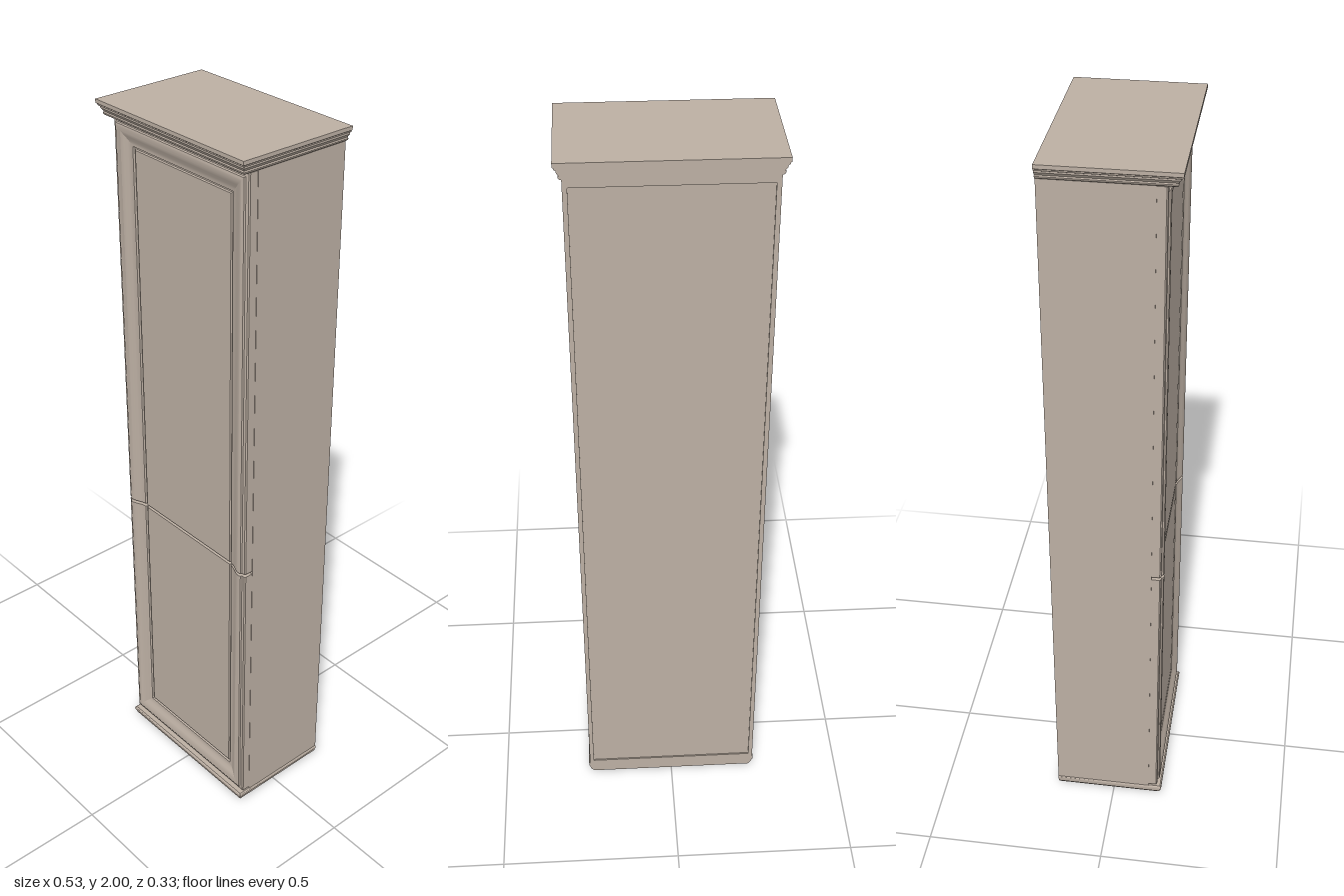
import * as THREE from 'three';
import { toCreasedNormals } from 'three/addons/utils/BufferGeometryUtils.js';

const material = new THREE.MeshStandardMaterial({ color: 0xbcafa3 });

// Solid moulded on three sides of a rectangle and cut flat on the fourth (v = v0).
// profile: [inset, height] pairs, swept with mitred corners; the last level is closed flat.
function mouldedSolid(w, v0, v1, profile) {
  const rings = profile.map(([d, h]) => [
    new THREE.Vector3(-w + d, v0, h),
    new THREE.Vector3(-w + d, v1 - d, h),
    new THREE.Vector3(w - d, v1 - d, h),
    new THREE.Vector3(w - d, v0, h),
  ]);
  const points = [];
  const quad = (a, b, c, d) => points.push(a, b, c, a, c, d);

  // moulded sides
  for (let i = 0; i < rings.length - 1; i++) {
    for (let k = 0; k < 3; k++) {
      quad(rings[i][k], rings[i + 1][k], rings[i + 1][k + 1], rings[i][k + 1]);
    }
  }
  // flat back and front faces
  const first = rings[0], last = rings[rings.length - 1];
  quad(first[0], first[1], first[2], first[3]);
  quad(last[0], last[3], last[2], last[1]);

  // flat cut end
  const outline = [...rings.map((r) => r[3]), ...rings.map((r) => r[0]).reverse()];
  const contour = outline.map((p) => new THREE.Vector2(p.x, p.z));
  for (const tri of THREE.ShapeUtils.triangulateShape(contour, [])) {
    points.push(...tri.map((i) => outline[i]));
  }
  const geometry = new THREE.BufferGeometry().setFromPoints(points);
  return toCreasedNormals(geometry, 0.5);
}

export function createModel() {
  const group = new THREE.Group();
  const add = (name, geometry) => {
    const mesh = new THREE.Mesh(geometry, material);
    mesh.name = name;
    group.add(mesh);
    return mesh;
  };
  const box = (name, x0, x1, y0, y1, z0, z1) =>
    add(name, new THREE.BoxGeometry(x1 - x0, y1 - y0, z1 - z0))
      .position.set((x0 + x1) / 2, (y0 + y1) / 2, (z0 + z1) / 2);

  const W = 0.247, back = -0.167, carcassFront = 0.105;

  // carcass: side panels, rails and a slightly recessed back
  box('leftSide', W - 0.012, W, 0.03, 1.965, back, carcassFront);
  box('rightSide', -W, -W + 0.012, 0.03, 1.965, back, carcassFront);
  box('bottomRail', -W + 0.012, W - 0.012, 0.03, 0.045, back, carcassFront);
  box('topRail', -W + 0.012, W - 0.012, 1.94, 1.965, back, carcassFront);
  box('backPanel', -W + 0.012, W - 0.012, 0.045, 1.94, back + 0.004, carcassFront - 0.001);

  // doors: rounded edge, raised bead, cove and groove around a recessed panel
  const doorProfile = [
    [0, 0.105], [0, 0.127], [0.003, 0.130], [0.011, 0.131], [0.013, 0.135],
    [0.017, 0.137], [0.022, 0.137], [0.030, 0.135], [0.039, 0.131],
    [0.048, 0.127], [0.056, 0.124], [0.063, 0.123], [0.065, 0.118],
    [0.069, 0.118], [0.071, 0.122],
  ];
  add('upperDoor', mouldedSolid(W - 0.001, 0.842, 1.957, doorProfile));
  const lowerDoor = add('lowerDoor', mouldedSolid(W - 0.001, -0.833, -0.04, doorProfile));
  lowerDoor.rotation.z = Math.PI;

  // cornice and plinth: heights are negated because the solid is turned to face down
  const corniceProfile = [
    [0, -2], [0, -1.99], [0.003, -1.988], [0.004, -1.984], [0.008, -1.982],
    [0.008, -1.978], [0.011, -1.974], [0.014, -1.970], [0.012, -1.967],
    [0.013, -1.963], [0.017, -1.96],
  ];
  add('cornice', mouldedSolid(0.267, back, 0.167, corniceProfile)).rotation.x = Math.PI / 2;

  const plinthProfile = [
    [0.004, -0.034], [0.001, -0.031], [0, -0.027], [0.001, -0.022], [0.004, -0.020],
    [0.004, -0.016], [0.006, -0.010], [0.010, -0.005], [0.013, -0.003], [0.013, 0],
  ];
  add('plinth', mouldedSolid(0.25, back, 0.143, plinthProfile)).rotation.x = Math.PI / 2;

  return group;
}
